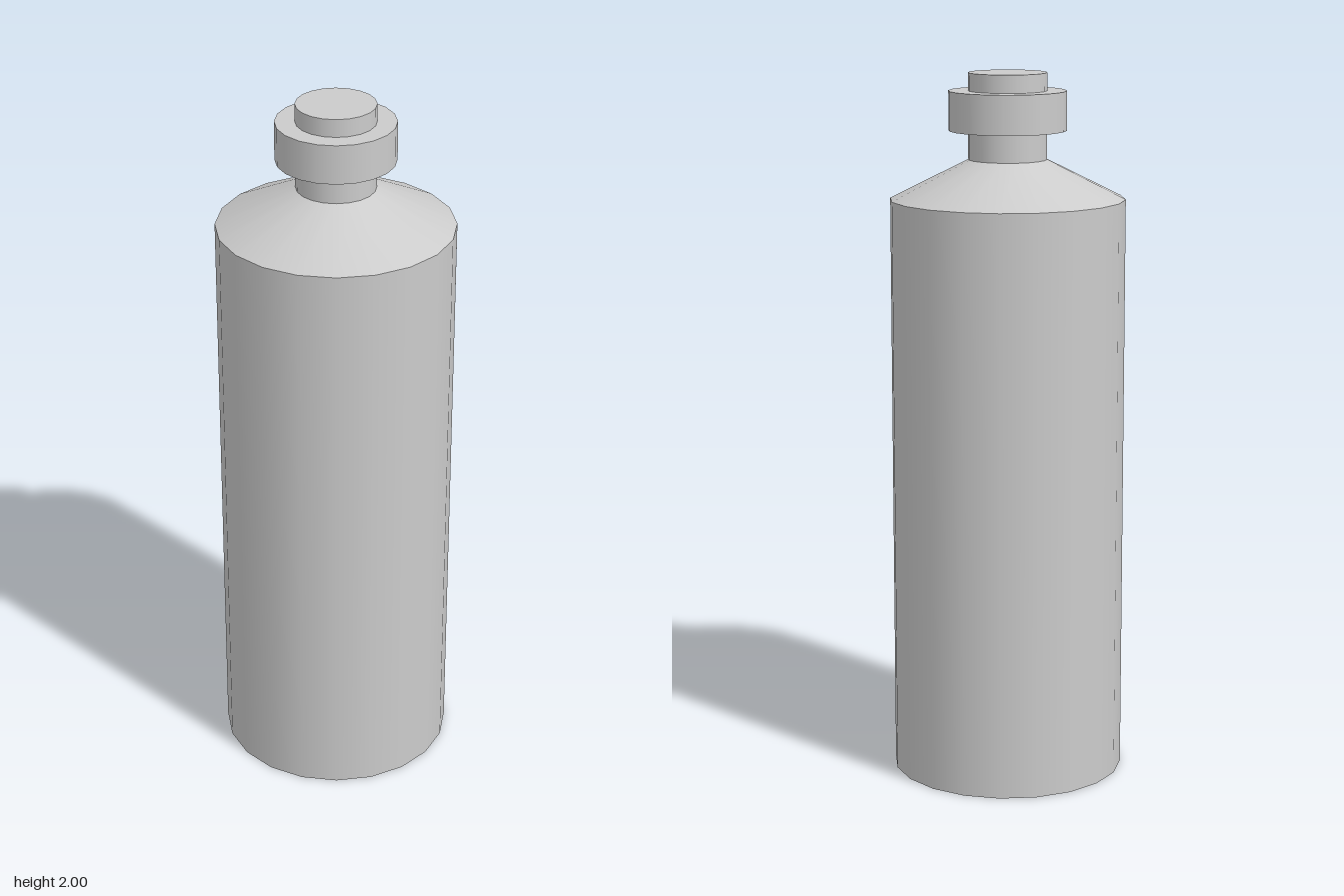
import * as THREE from 'three';

const SIDES = 20;

export function createModel() {
  const bottle = new THREE.Group();
  bottle.name = 'bottle';
  const material = new THREE.MeshStandardMaterial({ color: 0xcccccc });

  // One round section of the bottle, from height y0 to y1
  function addSection(name, y0, y1, bottomRadius, topRadius, open = false) {
    const geometry = new THREE.CylinderGeometry(topRadius, bottomRadius, y1 - y0, SIDES, 1, open);
    const mesh = new THREE.Mesh(geometry, material);
    mesh.name = name;
    mesh.position.y = (y0 + y1) / 2;
    bottle.add(mesh);
  }

  addSection('body', 0, 1.65, 0.33, 0.33);
  // The sloping shoulder joins the body to the neck, so it needs no caps
  addSection('shoulder', 1.65, 1.76, 0.33, 0.11, true);
  // The neck runs through the collar and closes the top
  addSection('neck', 1.76, 2, 0.11, 0.11);
  addSection('collar', 1.84, 1.95, 0.165, 0.165);

  return bottle;
}
